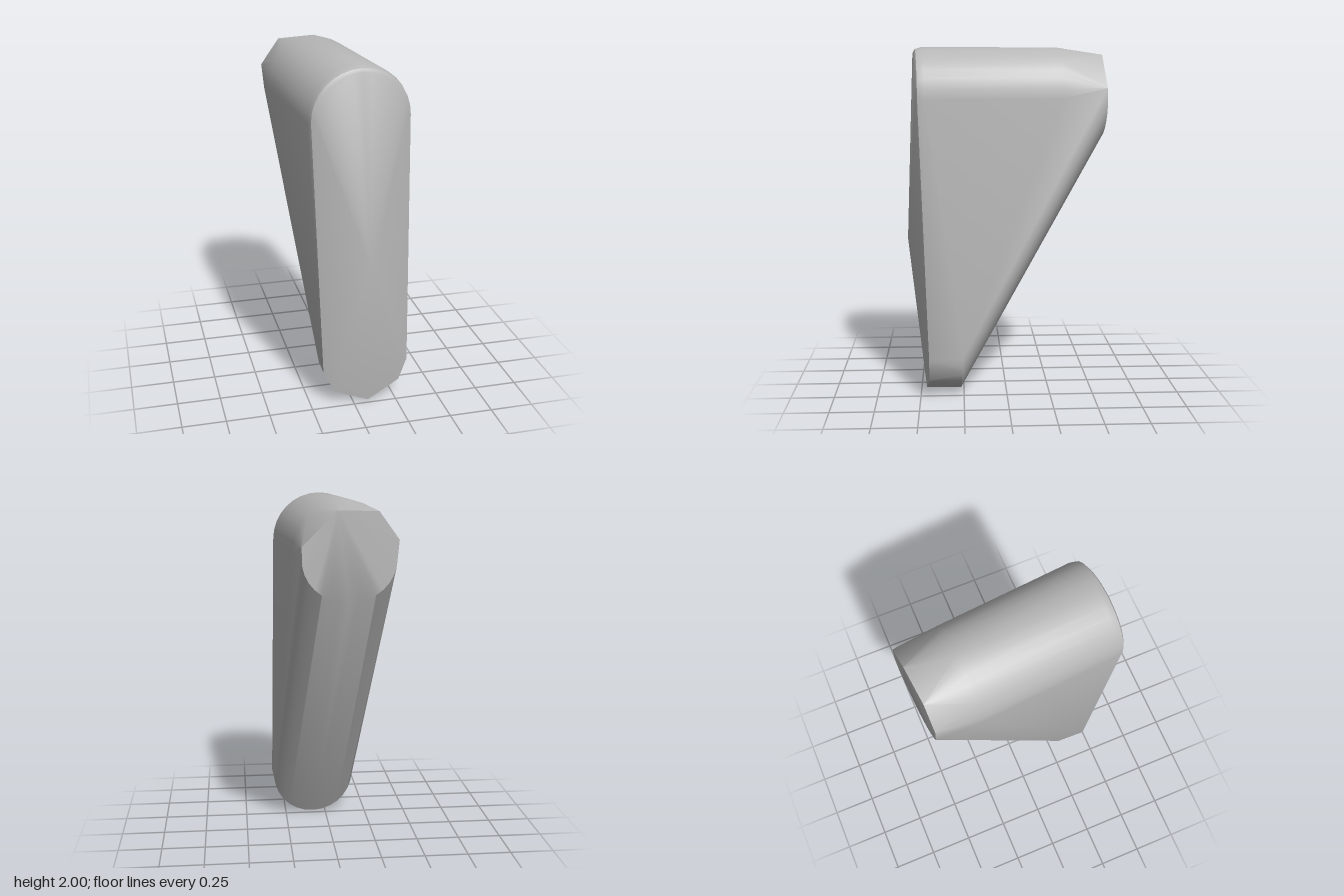
import * as THREE from 'three';
import { toCreasedNormals } from 'three/addons/utils/BufferGeometryUtils.js';
import { ConvexGeometry } from 'three/addons/geometries/ConvexGeometry.js';

// The whole body is slightly twisted: end faces lean back towards +x.
const SKEW = -0.075;

// Points on an elliptical arc in the xy plane, angles in degrees.
function arc(cx, cy, rx, ry, z, from, to, n) {
  return Array.from({ length: n + 1 }, (_, i) => {
    const a = THREE.MathUtils.degToRad(from + ((to - from) * i) / n);
    const x = cx + rx * Math.cos(a);
    return new THREE.Vector3(x, cy + ry * Math.sin(a), z + SKEW * x);
  });
}

const toPoints = (rows) => rows.map((p) => new THREE.Vector3(...p));

export function createModel() {
  const grey = new THREE.MeshStandardMaterial({ color: 0xb8b8b8 });
  grey.name = 'grey';

  const points = [
    // rounded top, from the soft front rim to the rear chamfer
    ...arc(0.02, 1.73, 0.255, 0.24, 0.53, 0, 180, 16),
    ...arc(0.02, 1.725, 0.274, 0.263, 0.52, 0, 180, 16),
    ...arc(0.018, 1.715, 0.284, 0.285, 0.485, 0, 180, 16),
    ...arc(-0.048, 1.715, 0.281, 0.284, -0.3, 0, 180, 16),
    // upper corners of the rear face
    ...toPoints([
      [0.2, 1.77, -0.57], [0.01, 1.957, -0.562], [-0.21, 1.95, -0.54], [-0.32, 1.8, -0.532],
    ]),
    // lower curve of the rear face and the bottom end of the sloped underside
    ...arc(-0.055, 1.7, 0.255, 0.23, -0.557, 190, 352, 14),
    ...arc(0.075, 0.24, 0.245, 0.235, 0.28, 180, 360, 14),
    // faceted front foot
    ...toPoints([
      [-0.175, 0.21, 0.46], [-0.11, 0.08, 0.468], [0.09, 0, 0.47],
      [0.28, 0.1, 0.45], [0.328, 0.23, 0.448],
    ]),
    // shallow peak on the front face
    new THREE.Vector3(0.07, 0.9, 0.57),
  ];

  const body = new THREE.Mesh(toCreasedNormals(new ConvexGeometry(points), 0.6), grey);
  body.name = 'wedgeBody';

  const model = new THREE.Group();
  model.name = 'roundedWedge';
  model.add(body);
  return model;
}
